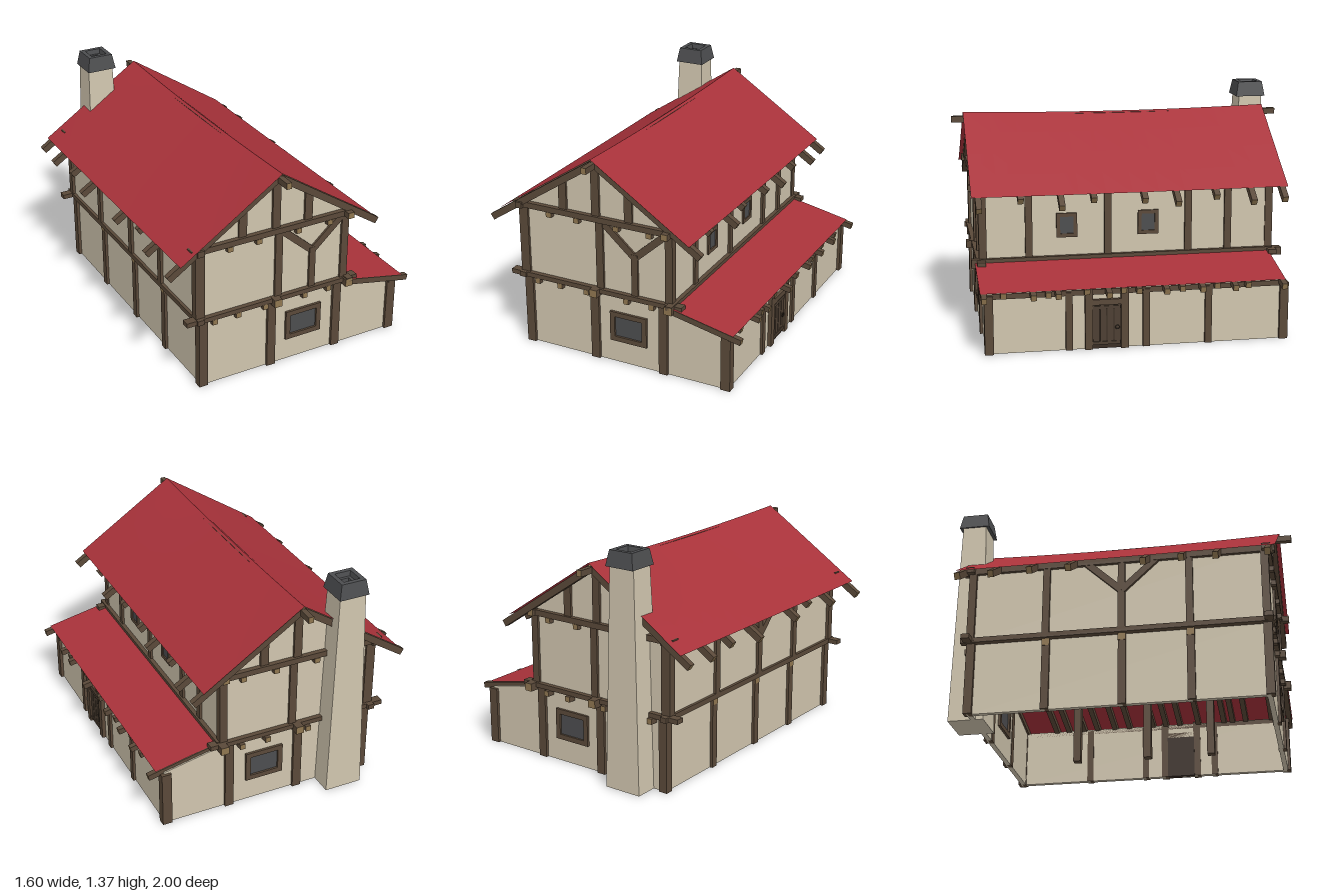
import * as THREE from 'three';

const mat = (name, color, side = THREE.FrontSide) => {
  const m = new THREE.MeshStandardMaterial({ color, side });
  m.name = name;
  return m;
};

export function createModel() {
  const house = new THREE.Group();
  house.name = 'house';
  const plaster = mat('plaster', 0xd0c5ae);
  const timber = mat('timber', 0x5a4939);
  const cut = mat('cutWood', 0x8f7650);
  const red = mat('redRoof', 0xa8323a, THREE.DoubleSide);
  const slate = mat('slate', 0x4c4d4f);
  const dark = mat('darkBoards', 0x382c23);
  const doorWood = mat('doorWood', 0x4d3f32);

  const add = (name, geo, m, x = 0, y = 0, z = 0) => {
    const mesh = new THREE.Mesh(geo, m);
    mesh.name = name;
    mesh.position.set(x, y, z);
    house.add(mesh);
    return mesh;
  };
  const box = (name, m, x0, x1, y0, y1, z0, z1) => add(name,
    new THREE.BoxGeometry(x1 - x0, y1 - y0, z1 - z0), m, (x0 + x1) / 2, (y0 + y1) / 2, (z0 + z1) / 2);
  // Squared timber from a to b; pale shows the sawn ends
  const beam = (name, a, b, w, h, pale = false) => {
    const A = new THREE.Vector3(...a), B = new THREE.Vector3(...b);
    const m = pale ? [timber, timber, timber, timber, cut, cut] : timber;
    const mesh = add(name, new THREE.BoxGeometry(w, h, A.distanceTo(B)), m);
    mesh.position.copy(A).add(B).multiplyScalar(0.5);
    mesh.lookAt(B);
    return mesh;
  };
  const post = (name, x, z, y0, y1, w = 0.05, d = 0.045) => beam(name, [x, y0, z], [x, y1, z], w, d);

  // Roof lines
  const RX = -0.11, RY = 1.25, SLOPE = 0.66;
  const roofY = x => RY - SLOPE * Math.abs(x - RX);
  const leanY = x => 0.45 - 0.21 * (x - 0.35);
  const sag = (x, z) => -0.016 * Math.max(0, 1 - z * z / 0.85) * Math.max(0, 1 - Math.abs(x - RX) / 0.7);

  // Gable end walls, with the lean-to in the same outline
  const outline = new THREE.Shape([
    [-0.58, 0], [0.705, 0], [0.705, 0.35], [0.36, 0.42], [0.36, roofY(0.36) - 0.03],
    [RX, RY - 0.03], [-0.6, roofY(-0.6) - 0.03], [-0.6, 0.44], [-0.58, 0.44],
  ].map(p => new THREE.Vector2(...p)));
  const endWall = new THREE.ExtrudeGeometry(outline, { depth: 0.03, bevelEnabled: false });
  add('frontWall', endWall, plaster, 0, 0, 0.84);
  add('backWall', endWall, plaster, 0, 0, -0.85);

  // Long walls
  box('sideWallLower', plaster, -0.58, -0.55, 0, 0.44, -0.84, 0.86);
  box('sideWallUpper', plaster, -0.6, -0.57, 0.44, 0.9, -0.84, 0.86);
  box('sideWallUpper', plaster, 0.33, 0.36, 0.42, 0.91, -0.84, 0.86);
  box('leanToWall', plaster, 0.675, 0.705, 0, 0.35, -0.84, 0.86);

  // Upper floor boards and joists, seen from beneath
  box('floorBoards', dark, -0.57, 0.35, 0.43, 0.44, -0.84, 0.85);
  for (const x of [-0.505, -0.355, -0.18, 0.08, 0.24])
    beam('floorJoist', [x, 0.415, -0.9], [x, 0.415, 0.9], 0.032, 0.032, true);
  for (const x of [-0.115, 0.36])
    beam('floorBeam', [x, 0.435, -0.92], [x, 0.435, 0.93], 0.048, 0.046, true);
  for (const z of [-0.4, 0.04, 0.43])
    beam('crossBeam', [-0.6, 0.408, z], [0.37, 0.408, z], 0.045, 0.045, true);

  // Timbers shared by the front and back
  for (const s of [1, -1]) {
    const z = s > 0 ? 0.862 : -0.842;
    for (const x of [-0.572, -0.132, 0.307]) post('lowerPost', x, z, 0, 0.44, 0.054, 0.05);
    post('leanToCornerPost', 0.695, z, 0, 0.34, 0.058, 0.05);
    for (const x of [-0.59, -0.092, 0.345]) post('upperPost', x, z, 0.44, 0.88, x < -0.5 ? 0.058 : 0.046);
    for (const x of [-0.325, -0.113, 0.095]) post('gablePost', x, z, 0.88, roofY(x) - 0.03);
    beam('floorRail', [-0.68, 0.443, z + s * 0.012], [0.43, 0.443, z + s * 0.012], 0.05, 0.028);
    beam('gableRail', [-0.65, 0.883, z + s * 0.012], [0.39, 0.883, z + s * 0.012], 0.05, 0.034);
    for (const x of [-0.41, -0.23, 0.025, 0.23])
      beam('ceilingJoistEnd', [x, 0.852, z - s * 0.03], [x, 0.852, z + s * 0.04], 0.034, 0.03, true);
  }
  // V-shaped braces
  for (const x of [-0.08, 0.335])
    beam('frontBrace', [x, 0.875, 0.865], [0.13, 0.69, 0.865], 0.035, 0.042);
  post('bracePost', 0.13, 0.862, 0.44, 0.71, 0.04);
  for (const d of [-0.2, 0.2])
    beam('sideBrace', [-0.6, 0.875, 0.04 + d], [-0.6, 0.69, 0.04], 0.035, 0.04);

  // Long side posts
  for (const z of [-0.4, 0.04, 0.43]) {
    post('sideLowerPost', -0.572, z, 0, 0.44, 0.05, 0.045);
    post('sideUpperPost', -0.592, z, 0.44, 0.88, 0.05, 0.042);
    post('innerPost', 0.307, z, 0, 0.44, 0.05, 0.045);
  }
  for (const z of [0.595, 0.13, -0.35, -0.59]) post('upperSidePost', 0.352, z, 0.42, 0.89, 0.045, 0.042);
  for (const z of [0.41, -0.033, -0.395]) post('leanToPost', 0.695, z, 0, 0.34, 0.05, 0.04);

  // Rails and wall plates along the length
  beam('sideRail', [-0.598, 0.443, -0.9], [-0.598, 0.443, 0.91], 0.04, 0.03);
  beam('leanToLedger', [0.365, 0.452, -0.86], [0.365, 0.452, 0.93], 0.04, 0.024);
  beam('wallPlate', [-0.6, 0.883, -0.9], [-0.6, 0.883, 0.92], 0.04, 0.036);
  beam('wallPlate', [0.345, 0.883, -0.9], [0.345, 0.883, 0.94], 0.04, 0.036, true);
  beam('leanToPlate', [0.695, 0.335, -0.84], [0.695, 0.335, 0.89], 0.04, 0.03);
  beam('ridgeBeam', [RX, 1.208, -1], [RX, 1.208, 1], 0.032, 0.036, true);

  // Main rafters: [z, outer x]
  const rafter = ([z, x]) => {
    const c = 0.032;
    beam('rafter', [RX, RY - c + sag(RX, z), z], [x, roofY(x) - c + sag(x, z), z], 0.034, 0.04, true);
  };
  [[-0.89, 0.545], [-0.7, 0.555], [-0.49, 0.51], [-0.255, 0.545], [-0.065, 0.515], [0.23, 0.5],
    [0.42, 0.545], [0.65, 0.49], [0.89, 0.545], [-0.89, -0.775], [-0.69, -0.785], [-0.47, -0.76],
    [-0.235, -0.795], [0.19, -0.775], [0.4, -0.73], [0.6, -0.78], [0.89, -0.79]].forEach(rafter);

  // Lean-to rafters
  [[-0.825, 0.793], [-0.62, 0.757], [-0.54, 0.783], [-0.44, 0.745], [-0.35, 0.78], [-0.235, 0.76],
    [-0.14, 0.783], [0.015, 0.762], [0.1, 0.745], [0.19, 0.793], [0.31, 0.745], [0.475, 0.78],
    [0.53, 0.76], [0.615, 0.783], [0.78, 0.745], [0.89, 0.793]].forEach(([z, x]) =>
    beam('leanToRafter', [0.36, leanY(0.36) - 0.023, z], [x, leanY(x) - 0.023, z], 0.032, 0.034, true));

  // Roof sheets, sagging slightly along the ridge
  const sheet = (name, x0, x1, z0, z1, height) => {
    const g = new THREE.PlaneGeometry(x1 - x0, z1 - z0, 4, 12).rotateX(-Math.PI / 2);
    g.translate((x0 + x1) / 2, 0, (z0 + z1) / 2);
    const p = g.attributes.position;
    for (let i = 0; i < p.count; i++) p.setY(i, height(p.getX(i), p.getZ(i)));
    g.computeVertexNormals();
    add(name, g, red);
  };
  const mainY = (x, z) => roofY(x) + sag(x, z);
  sheet('roofSlope', -0.73, RX, -0.92, 0.93, mainY);
  sheet('roofSlope', RX, 0.492, -0.92, 0.93, mainY);
  sheet('leanToRoof', 0.355, 0.752, -0.84, 0.91, x => leanY(x));

  // Windows: frame with a hole and a pane
  const windowAt = (w, h, t, depth, x, y, z, turn) => {
    const g = new THREE.Group();
    g.name = 'window';
    const rect = (T, a, b) => new T([[-a, -b], [a, -b], [a, b], [-a, b]].map(p => new THREE.Vector2(...p)));
    const s = rect(THREE.Shape, w / 2, h / 2);
    s.holes.push(rect(THREE.Path, w / 2 - t, h / 2 - t));
    const frame = new THREE.Mesh(
      new THREE.ExtrudeGeometry(s, { depth, bevelEnabled: false }).translate(0, 0, -depth / 2), timber);
    frame.name = 'windowFrame';
    const pane = new THREE.Mesh(new THREE.BoxGeometry(w - 2 * t, h - 2 * t, 0.036), slate);
    pane.name = 'windowPane';
    g.add(frame, pane);
    g.position.set(x, y, z);
    g.rotation.y = turn;
    house.add(g);
  };
  windowAt(0.235, 0.185, 0.03, 0.06, 0.083, 0.232, 0.855, 0);
  windowAt(0.235, 0.185, 0.03, 0.06, 0.083, 0.232, -0.835, Math.PI);
  for (const z of [0.372, -0.11]) windowAt(0.122, 0.144, 0.022, 0.05, 0.345, 0.644, z, Math.PI / 2);

  // Plank door with frame, battens and ring handle
  for (const z of [0.298, 0.092]) post('doorJamb', 0.7, z, 0, 0.36, 0.055, 0.044);
  box('doorLintel', timber, 0.675, 0.725, 0.26, 0.292, 0.11, 0.28);
  box('doorBacking', dark, 0.67, 0.71, 0, 0.26, 0.11, 0.28);
  for (let i = 0; i < 4; i++) {
    const z = 0.134 + i * 0.041;
    box('doorPlank', doorWood, 0.705, 0.717, 0.025, 0.258, z - 0.017, z + 0.017);
  }
  for (const y of [0.025, 0.235]) box('doorBatten', doorWood, 0.71, 0.722, y, y + 0.018, 0.117, 0.275);
  add('doorHandle', new THREE.TorusGeometry(0.011, 0.003, 6, 12).rotateY(Math.PI / 2), dark, 0.722, 0.125, 0.135);

  // Tapered chimney shaft
  const shaft = new THREE.BoxGeometry(0.23, 1.28, 0.21).toNonIndexed();
  const sp = shaft.attributes.position;
  for (let i = 0; i < sp.count; i++) if (sp.getY(i) > 0)
    sp.setXYZ(i, sp.getX(i) * 0.7, sp.getY(i), sp.getZ(i) * 0.68 - 0.02);
  shaft.computeVertexNormals();
  add('chimneyShaft', shaft, plaster, -0.382, 0.64, -0.88);

  // Square chimney cap with a sunken flue
  const profile = [[0, 0], [0.092, 0], [0.076, 0.09], [0.05, 0.09], [0.045, 0.06], [0.028, 0.06], [0.025, 0.03], [0, 0.03]]
    .map(([r, y]) => new THREE.Vector2(r * Math.SQRT2, y));
  const cap = new THREE.LatheGeometry(profile, 4, Math.PI / 4).toNonIndexed();
  cap.computeVertexNormals();
  add('chimneyCap', cap, slate, -0.38, 1.275, -0.9);
  return house;
}
